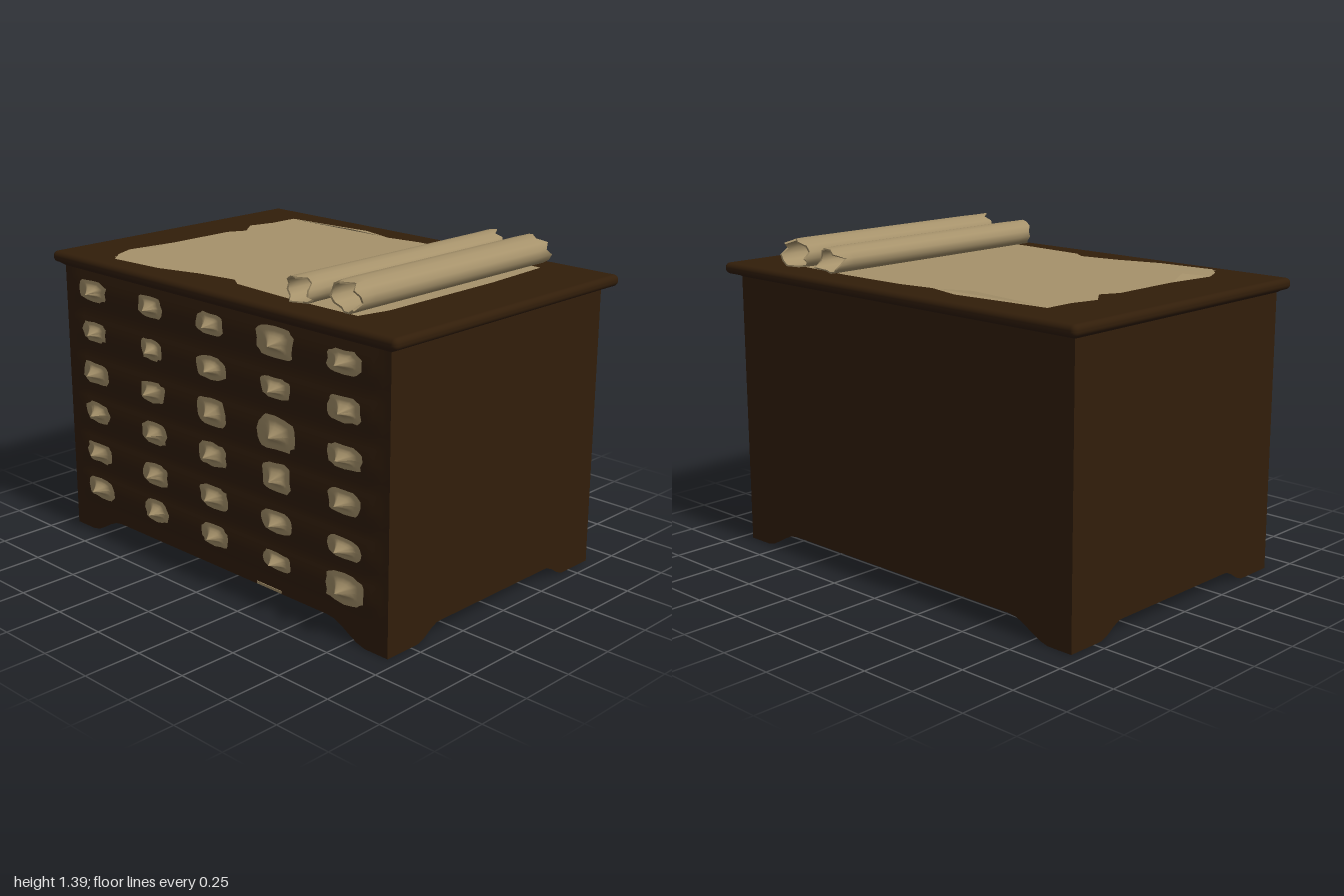
import * as THREE from 'three';
import { toCreasedNormals } from 'three/addons/utils/BufferGeometryUtils.js';
import { RoundedBoxGeometry } from 'three/addons/geometries/RoundedBoxGeometry.js';

const wood = new THREE.MeshStandardMaterial({ color: 0x321e0a });
wood.name = 'dark wood';
const paper = new THREE.MeshStandardMaterial({ color: 0xa6926b, side: THREE.DoubleSide });
paper.name = 'parchment';

// Drawer rows: height and pull sizes [width, height] in hundredths
const columns = [-0.755, -0.375, -0.005, 0.365, 0.73];
const rows = [
  { y: 1.115, sizes: [[18, 9], [15, 9], [16, 9], [20, 12.5], [18, 9]] },
  { y: 0.935, sizes: [[16, 8.5], [13, 9], [17, 9.5], [16, 8.5], [17, 10]] },
  { y: 0.75, sizes: [[18, 9.5], [16, 9], [17, 11.5], [20, 13.5], [18, 9]] },
  { y: 0.57, sizes: [[16, 9], [16, 9.5], [16, 10], [16, 12.5], [17, 9.5]] },
  { y: 0.385, sizes: [[17, 9], [16, 9.5], [17, 9.5], [17, 9], [18, 8.5]] },
  { y: 0.218, sizes: [[17, 9.5], [15, 9.5], [16, 9], [16, 7.5], [20, 12.5]] },
];

let seed = 7;
const rand = () => (seed = (seed * 16807) % 2147483647) / 2147483647;
const jitter = (a) => (rand() - 0.5) * 2 * a;

function add(group, name, geometry, material, x = 0, y = 0, z = 0) {
  const mesh = new THREE.Mesh(geometry, material);
  mesh.name = name;
  mesh.position.set(x, y, z);
  group.add(mesh);
  return mesh;
}

// Apply a rule to every vertex
function shapeVertices(geometry, rule) {
  const p = geometry.attributes.position;
  const v = new THREE.Vector3();
  for (let i = 0; i < p.count; i++) {
    rule(v.fromBufferAttribute(p, i), i);
    p.setXYZ(i, v.x, v.y, v.z);
  }
  geometry.computeVertexNormals();
  return geometry;
}

// Cabinet box standing on y = 0: softly swelling drawer fronts, four bracket
// feet and a floor set slightly above the rim
function cabinetGeometry() {
  const rise = (d, foot, flat) => 1 - THREE.MathUtils.smoothstep(d, flat, foot);
  const box = new THREE.BoxGeometry(1.9, 1.2, 1.26, 48, 40, 36).translate(0, 0.6, 0);
  const g = shapeVertices(box, (v) => {
    const ax = Math.abs(v.x), az = Math.abs(v.z);
    if (v.z > 0.62 && ax < 0.9) {
      for (const { y } of rows) v.z += 0.007 * rise(Math.abs(v.y - y), 0.09, 0.02);
    }
    const inside = ax < 0.92 && az < 0.6;
    const foot = Math.max(0.078 * rise(ax, 0.84, 0.64), 0.056 * rise(az, 0.46, 0.34));
    // lower rows are squeezed upward so that the sides follow the foot outline
    if (v.y < 0.14) v.y += (inside ? 0.088 : foot) * (1 - v.y / 0.15);
  });
  return toCreasedNormals(g, 0.6);
}

// Small cove that flares from the cabinet to the top
function mouldingGeometry() {
  const g = shapeVertices(new THREE.BoxGeometry(1.9, 0.02, 1.26), (v) => {
    if (v.y > 0) { v.x *= 1.035; v.z *= 1.04; }
  });
  return toCreasedNormals(g, 0.6);
}

// Ragged plate with a small pinched pull, base on z = 0
function pullGeometry(w, h) {
  const n = 20;
  const ragged = Array.from({ length: n }, () => 1 + jitter(0.09));
  const tilt = jitter(0.01);
  return shapeVertices(new THREE.RingGeometry(0, 1, n, 7), (v, i) => {
    const r = Math.hypot(v.x, v.y);
    const a = ((i % (n + 1)) / n) * Math.PI * 2;
    const k = ragged[(i % (n + 1)) % n];
    const box = (t) => Math.sign(t) * Math.pow(Math.abs(t), 0.6);
    const lift = Math.max(0, 1 - r / 0.6);
    v.set(
      box(Math.cos(a)) * r * k * w / 2 + tilt * lift,
      box(Math.sin(a)) * r * k * h / 2 - 0.006 * lift,
      0.009 + 0.003 * (1 - r) + 0.044 * Math.pow(lift, 1.5)
    );
  });
}

// Hollow rolled sheet with thick walls and torn ends, lying along z
function rollGeometry(rx, ry, length) {
  const n = 14, half = length / 2;
  const torn = Array.from({ length: 2 * n }, () => rand() * 0.06);
  const wave = Array.from({ length: n }, () => 1 + jitter(0.03));
  const wall = [[1, -half], [1, -half + 0.1], [1, half - 0.1], [1, half],
    [0.88, half], [0.88, half - 0.1], [0.88, -half + 0.1], [0.88, -half], [1, -half]];
  const profile = wall.map(([r, y]) => new THREE.Vector2(r, y));
  const g = new THREE.LatheGeometry(profile, n).rotateX(Math.PI / 2);
  shapeVertices(g, (v, i) => {
    const c = Math.floor(i / wall.length) % n;
    const end = Math.abs(v.z) > half - 0.01;
    const k = end ? wave[c] : 1;
    v.x *= rx * k;
    v.y *= ry * k;
    if (end) v.z -= Math.sign(v.z) * torn[c + (v.z > 0 ? n : 0)];
  });
  return toCreasedNormals(g, 0.9);
}

// Flat sheet from [x, z] corners
function sheetGeometry(points) {
  const shape = new THREE.Shape(points.map(([x, z]) => new THREE.Vector2(x, -z)));
  return new THREE.ShapeGeometry(shape).rotateX(-Math.PI / 2);
}

// Folded flap: three corners, the last one lifted
function flapGeometry(a, b, tip) {
  const g = new THREE.BufferGeometry();
  g.setAttribute('position', new THREE.Float32BufferAttribute(
    [a[0], 0, a[1], b[0], 0, b[1], tip[0], 0.01, tip[1]], 3));
  g.computeVertexNormals();
  return g;
}

export function createModel() {
  const model = new THREE.Group();
  model.name = 'mapCabinet';

  // Cabinet and top
  add(model, 'cabinetBody', cabinetGeometry(), wood);
  add(model, 'topMoulding', mouldingGeometry(), wood, 0, 1.205, 0);
  add(model, 'cabinetTop', new RoundedBoxGeometry(2, 0.048, 1.355, 3, 0.022), wood, 0, 1.233, -0.012);

  // Drawer pulls
  const pulls = new THREE.Group();
  pulls.name = 'drawerPulls';
  model.add(pulls);
  for (const { y, sizes } of rows) {
    sizes.forEach(([w, h], i) => {
      add(pulls, 'drawerPull', pullGeometry(w / 100, h / 100), paper, columns[i], y, 0.63);
    });
  }

  // Pale scuff on the front lower edge
  add(model, 'edgeScuff', new THREE.BoxGeometry(0.14, 0.011, 0.006), paper, 0.31, 0.086, 0.63);

  // Spread sheet with torn edges
  const outline = [
    [-0.73, -0.53], [-0.5, -0.55], [-0.29, -0.57], [-0.13, -0.53], [0.03, -0.555], [0.35, -0.56],
    [0.71, -0.54], [0.73, -0.2], [0.73, 0.4], [0.7, 0.54], [0.35, 0.54], [0.03, 0.52],
    [-0.03, 0.48], [-0.21, 0.51], [-0.4, 0.565], [-0.66, 0.585], [-0.72, 0.52], [-0.76, 0.43],
    [-0.73, 0.2], [-0.73, -0.11], [-0.69, -0.19], [-0.76, -0.28], [-0.73, -0.4],
  ];
  add(model, 'spreadSheet', sheetGeometry(outline), paper, 0, 1.262, 0);
  add(model, 'frontFold', flapGeometry([-0.69, 0.57], [-0.36, 0.53], [-0.6, 0.4]), paper, 0, 1.263, 0);
  add(model, 'sideFold', flapGeometry([-0.73, 0.22], [-0.75, 0.43], [-0.67, 0.36]), paper, 0, 1.263, 0);
  add(model, 'backFold', flapGeometry([-0.71, -0.52], [-0.16, -0.53], [-0.33, -0.51]), paper, 0, 1.263, 0);

  // Rolled sheets
  add(model, 'innerRoll', rollGeometry(0.078, 0.055, 1.21), paper, 0.423, 1.316, -0.01);
  add(model, 'outerRoll', rollGeometry(0.091, 0.062, 1.18), paper, 0.636, 1.323, -0.02);
  return model;
}
